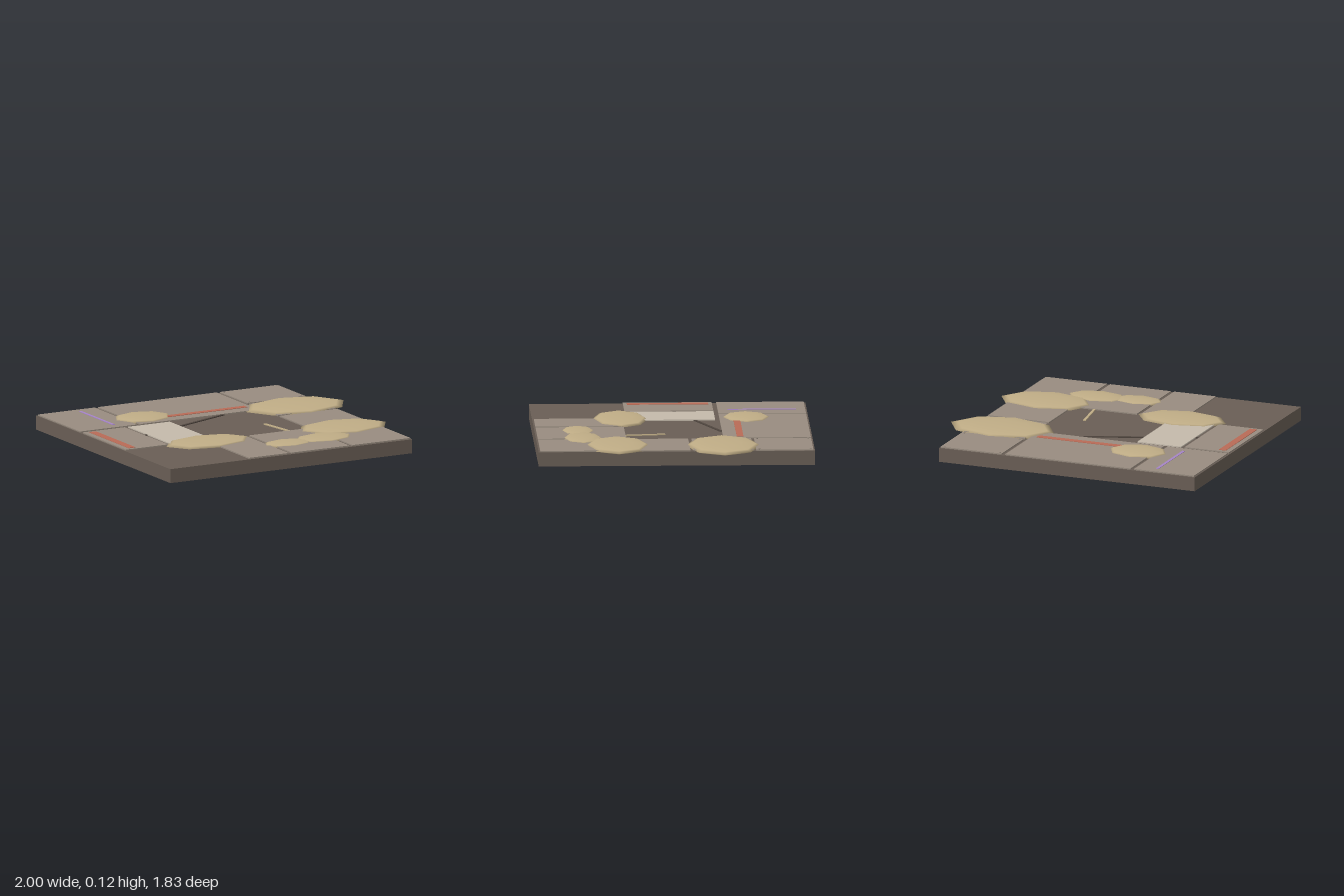
import * as THREE from 'three';

const material = (name, color) => {
  const m = new THREE.MeshStandardMaterial({ color });
  m.name = name;
  return m;
};

export function createModel() {
  const group = new THREE.Group();
  const slabBrown = material('slab brown', 0x695e55);
  const panelGrey = material('panel grey', 0x988c80);
  const paleStone = material('pale stone', 0xc4baab);
  const sand = material('sand', 0xc0ad86);
  const rust = material('rust red', 0xb96b56);
  const violet = material('violet', 0xa685c6);
  const darkCable = material('dark beam', 0x50463f);

  const TOP = 0.095, PANEL_TOP = 0.103;

  const add = (name, geometry, mat, x, y, z) => {
    const mesh = new THREE.Mesh(geometry, mat);
    mesh.name = name;
    mesh.position.set(x, y, z);
    group.add(mesh);
    return mesh;
  };

  // Box given by its extents on the floor plan
  const plate = (name, mat, x0, x1, z0, z1, y0, y1) =>
    add(name, new THREE.BoxGeometry(x1 - x0, y1 - y0, z1 - z0), mat,
      (x0 + x1) / 2, (y0 + y1) / 2, (z0 + z1) / 2);

  // Thin bar lying on the floor between two plan points
  const bar = (name, mat, x0, z0, x1, z1, width, height) => {
    const mesh = add(name,
      new THREE.BoxGeometry(Math.hypot(x1 - x0, z1 - z0), height, width), mat,
      (x0 + x1) / 2, TOP + height / 2, (z0 + z1) / 2);
    mesh.rotation.y = -Math.atan2(z1 - z0, x1 - x0);
  };

  // Floor slab
  plate('slab', slabBrown, -1, 0.835, -0.917, 0.917, 0, TOP);

  // Floor panels with narrow joints between them
  const panels = [
    [-0.99, -0.56, -0.906, -0.325],
    [-0.535, 0.365, -0.906, -0.325],
    [0.39, 0.828, -0.906, -0.527],
    [0.39, 0.828, -0.508, -0.112],
    [0.39, 0.828, -0.09, 0.295],
    [0.39, 0.828, 0.32, 0.906],
    [-0.07, 0.365, 0.32, 0.906],
    [-0.395, -0.095, 0.32, 0.906],
    [-0.99, -0.67, -0.295, 0.295],
  ];
  for (const p of panels) plate('floorPanel', panelGrey, ...p, TOP - 0.01, PANEL_TOP);
  plate('palePanel', paleStone, -0.645, -0.33, -0.295, 0.295, TOP - 0.01, PANEL_TOP);

  // Small rivets in the corners of the back corner panel
  for (const x of [0.41, 0.808])
    for (const z of [-0.886, -0.547])
      add('rivet', new THREE.CylinderGeometry(0.007, 0.007, 0.004, 8), panelGrey, x, PANEL_TOP + 0.002, z);

  // Painted guide stripes
  plate('violetStripe', violet, -0.712, -0.692, -0.845, -0.39, PANEL_TOP, PANEL_TOP + 0.003);
  plate('redStripe', rust, -0.315, 0.325, -0.46, -0.415, PANEL_TOP, PANEL_TOP + 0.003);
  plate('redStripe', rust, -0.955, -0.905, -0.27, 0.27, PANEL_TOP, PANEL_TOP + 0.003);

  // Loose beam and stick on the bare floor
  bar('fallenBeam', darkCable, -0.67, -0.033, 0.09, -0.32, 0.018, 0.006);
  bar('stick', sand, 0.195, 0.055, 0.235, 0.32, 0.018, 0.007);

  // Flattened sand drifts: x, z, radius x, radius z, height
  const drifts = [
    [0.63, -0.315, 0.37, 0.25, 0.024],
    [0.605, 0.385, 0.325, 0.215, 0.022],
    [-0.39, 0.335, 0.315, 0.185, 0.021],
    [-0.422, -0.503, 0.21, 0.162, 0.022],
    [0.05, 0.63, 0.18, 0.112, 0.016],
    [0.335, 0.607, 0.215, 0.133, 0.018],
  ];
  for (const [x, z, rx, rz, h] of drifts)
    add('sandDrift', new THREE.SphereGeometry(1, 8, 6), sand, x, 0.098, z).scale.set(rx, h, rz);

  return group;
}
